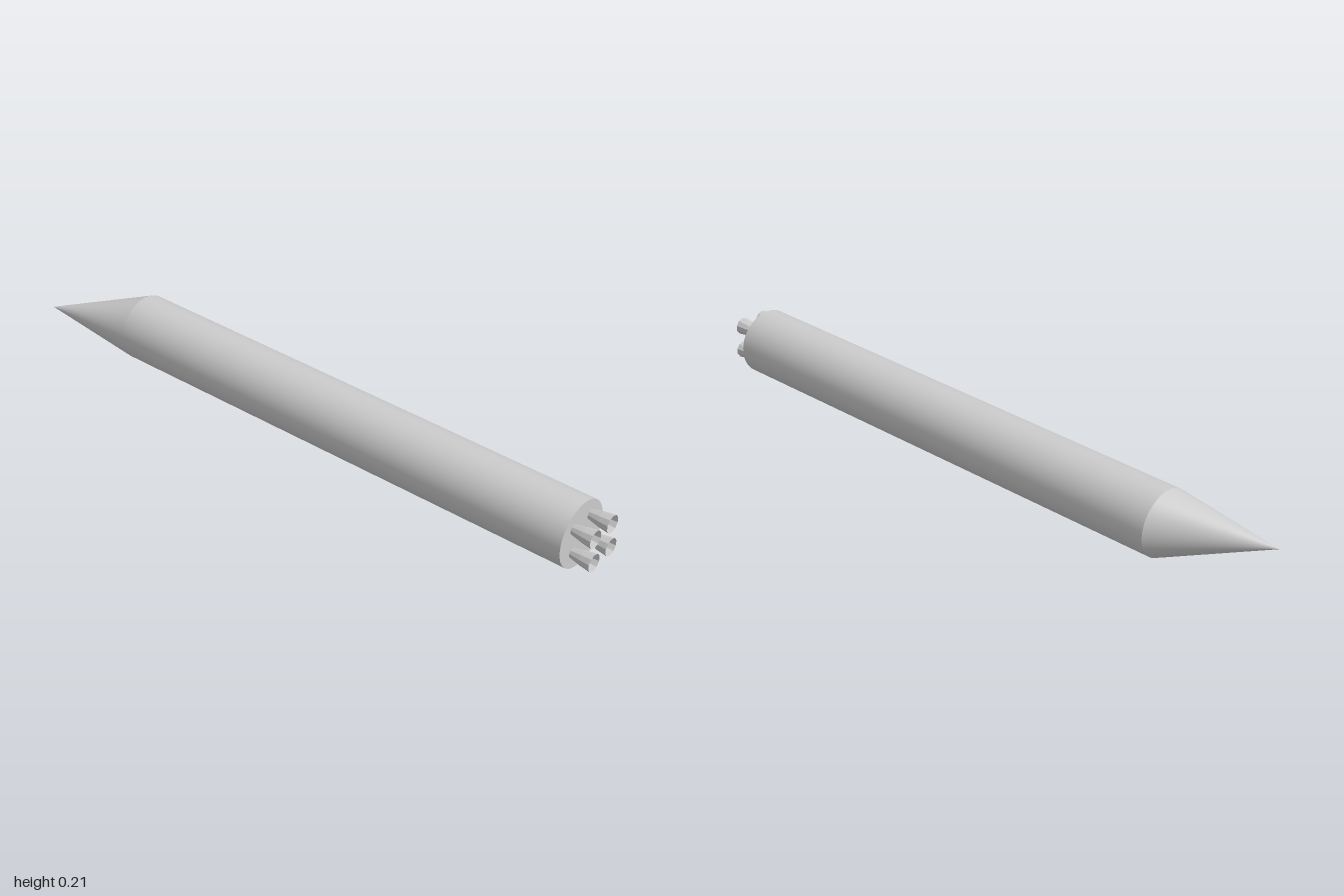
import * as THREE from 'three';

const R = 0.103;          // hull radius, also the height of its axis
const BODY_FRONT = 0.93;  // z of the engine plate
const BODY_BACK = -0.695; // z where the nose starts

export function createModel() {
  const group = new THREE.Group();
  const hullGrey = new THREE.MeshStandardMaterial({ color: 0xcccccc, name: 'hullGrey' });
  const nozzleGrey = new THREE.MeshStandardMaterial({
    color: 0xcccccc, name: 'nozzleGrey', flatShading: true, side: THREE.DoubleSide,
  });

  const add = (name, geometry, material, x, y, z) => {
    const mesh = new THREE.Mesh(geometry, material);
    mesh.name = name;
    mesh.position.set(x, y, z);
    group.add(mesh);
    return mesh;
  };

  // Long cylindrical hull
  const length = BODY_FRONT - BODY_BACK;
  const hull = new THREE.CylinderGeometry(R, R, length, 64).rotateX(Math.PI / 2);
  add('hull', hull, hullGrey, 0, R, (BODY_FRONT + BODY_BACK) / 2);

  // Slanted nose: a cone sheared so its tip lies in line with the -x side
  const noseLength = 1 + BODY_BACK;
  const nose = new THREE.ConeGeometry(R, noseLength, 64, 6, true)
    .translate(0, noseLength / 2, 0)
    .rotateX(-Math.PI / 2);
  const shear = new THREE.Matrix4();
  shear.elements[8] = R / noseLength; // x shifts with z
  nose.applyMatrix4(shear);
  add('noseCone', nose, hullGrey, 0, R, BODY_BACK);

  // Four open, faceted engine bells
  const profile = [[0.0145, -0.002], [0.0225, 0.035], [0.0275, 0.07]]
    .map(([r, h]) => new THREE.Vector2(r, h));
  const bell = new THREE.LatheGeometry(profile, 10).rotateX(Math.PI / 2);
  [[-0.043, 0.144], [0.039, 0.147], [-0.039, 0.062], [0.043, 0.066]].forEach(([x, y], i) => {
    add(`engineBell${i + 1}`, bell, nozzleGrey, x, y, BODY_FRONT);
  });

  return group;
}
